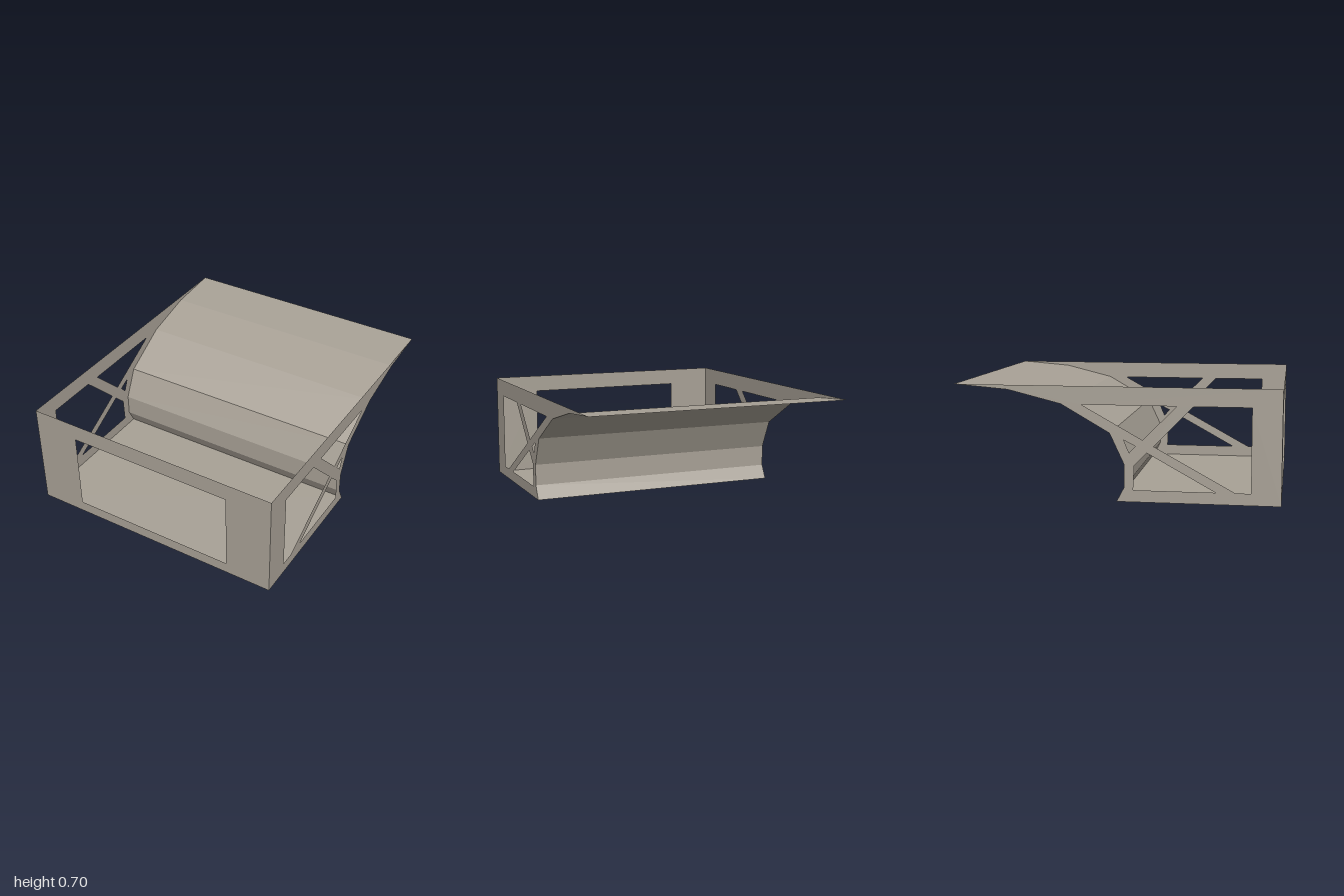
import * as THREE from 'three';

const HALF_WIDTH = 0.85, TOP = 0.7, FRONT = 1;

// Curved back sheet in section, as [z, y] from the floor up to the rear lip
const BACK = [[0.01, 0], [0.057, 0.09], [0.057, 0.228], [-0.032, 0.418], [-0.33, 0.59], [-0.66, 0.672], [-1, TOP]];

// Openings between the side struts, as [z, y]
const OPENINGS = [
  [[0.82, 0.588], [0.475, 0.588], [0.235, 0.343], [0.727, 0.073], [0.82, 0.073]],
  [[0.375, 0.588], [-0.205, 0.588], [0.168, 0.38]],
  [[0.61, 0.073], [0.195, 0.302], [0.118, 0.225], [0.112, 0.073]],
  [[0.125, 0.342], [0.054, 0.378], [0.087, 0.3]],
];

// Warm grey-brown
const material = new THREE.MeshStandardMaterial({ color: 0xa8a196, flatShading: true, side: THREE.DoubleSide });
const points = (list) => list.map(([a, b]) => new THREE.Vector2(a, b));

function panel(outline, holes) {
  const shape = new THREE.Shape(points(outline));
  holes.forEach((hole) => shape.holes.push(new THREE.Path(points(hole))));
  return new THREE.ShapeGeometry(shape);
}

const rectangle = (x, y0, y1) => [[-x, y0], [x, y0], [x, y1], [-x, y1]];

export function createModel() {
  const model = new THREE.Group();
  const add = (name, geometry) => {
    const mesh = new THREE.Mesh(geometry, material);
    mesh.name = name;
    model.add(mesh);
    return mesh;
  };

  // Trussed side walls
  const side = panel([[FRONT, 0], ...BACK, [FRONT, TOP]], OPENINGS).rotateY(-Math.PI / 2);
  add('leftSide', side).position.x = HALF_WIDTH;
  add('rightSide', side).position.x = -HALF_WIDTH;

  // Front frame with its wide window
  add('frontFrame', panel(rectangle(HALF_WIDTH, 0, TOP), [rectangle(0.548, 0.073, 0.588)])).position.z = FRONT;

  // Floor
  const depth = FRONT - BACK[0][0];
  add('floor', new THREE.PlaneGeometry(2 * HALF_WIDTH, depth).rotateX(-Math.PI / 2)).position.z = FRONT - depth / 2;

  // Curved back sheet: each row of a plane follows one section point
  let sheet = new THREE.PlaneGeometry(2 * HALF_WIDTH, 1, 1, BACK.length - 1);
  const position = sheet.attributes.position;
  for (let i = 0; i < position.count; i++) {
    const [z, y] = BACK[BACK.length - 1 - Math.floor(i / 2)];
    position.setXYZ(i, position.getX(i), y, z);
  }
  sheet = sheet.toNonIndexed();
  sheet.computeVertexNormals();
  add('curvedBack', sheet);

  return model;
}
